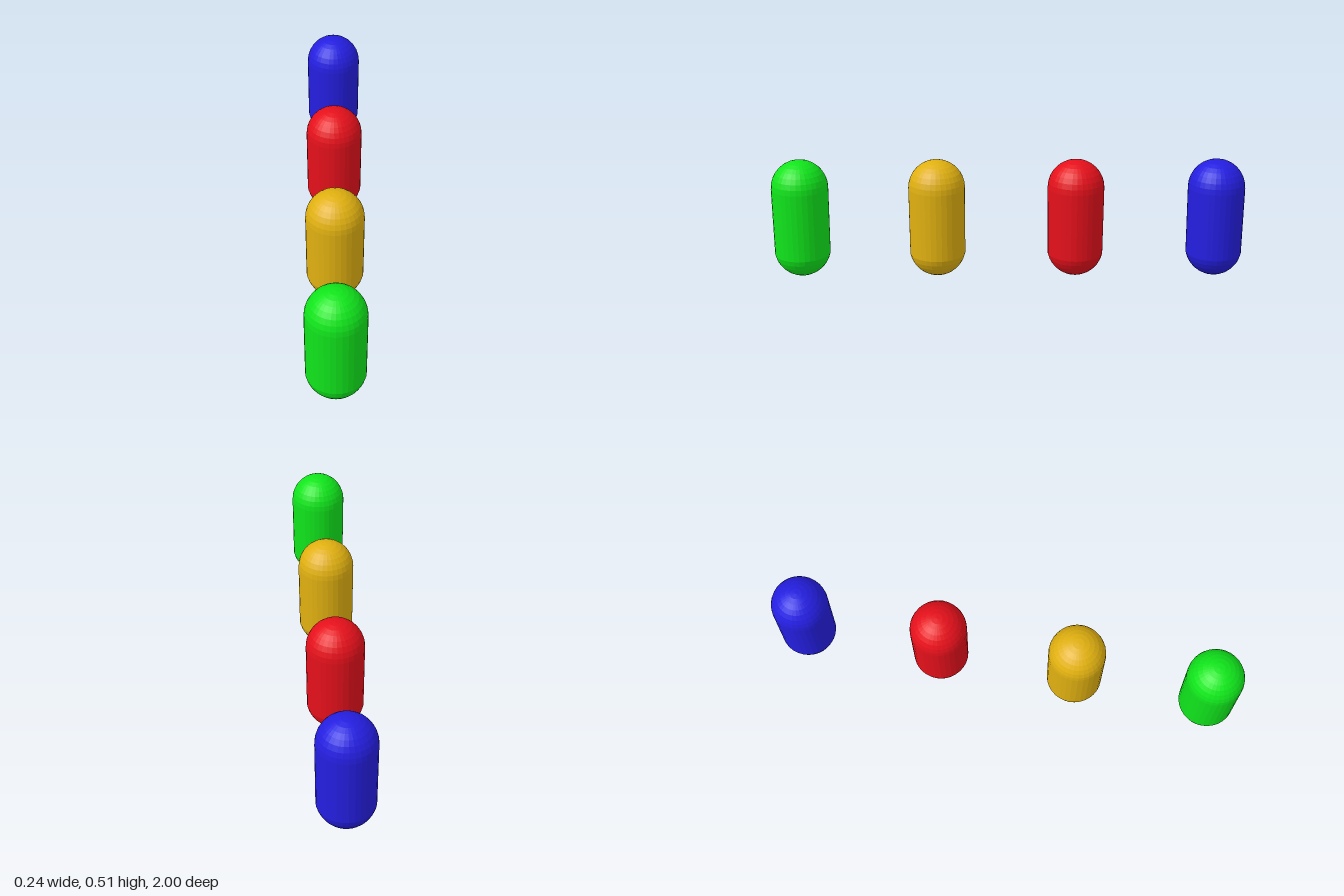
import * as THREE from 'three';

const RADIUS = 0.12, HEIGHT = 0.509;

// Faceted capsule: a UV sphere whose half below the equator is pulled down,
// so the barrel runs from the equator to the first ring under it.
function capsuleGeometry() {
  const geometry = new THREE.SphereGeometry(RADIUS, 32, 16);
  const position = geometry.attributes.position;
  for (let i = 0; i < position.count; i++) {
    const y = position.getY(i);
    position.setY(i, y < -0.001 ? y + RADIUS : y + HEIGHT - RADIUS);
  }
  geometry.computeVertexNormals();
  return geometry;
}

export function createModel() {
  const model = new THREE.Group();
  model.name = 'capsuleRow';
  const geometry = capsuleGeometry();

  // Four capsules in a row from front to back
  const capsules = [
    ['greenCapsule', 0x10e51b, 0.88],
    ['yellowCapsule', 0xe0b010, 0.302],
    ['redCapsule', 0xe5101b, -0.286],
    ['blueCapsule', 0x241ee0, -0.88],
  ];
  for (const [name, color, z] of capsules) {
    const material = new THREE.MeshStandardMaterial({ color, flatShading: true });
    const capsule = new THREE.Mesh(geometry, material);
    capsule.name = name;
    capsule.position.z = z;
    model.add(capsule);
  }
  return model;
}
